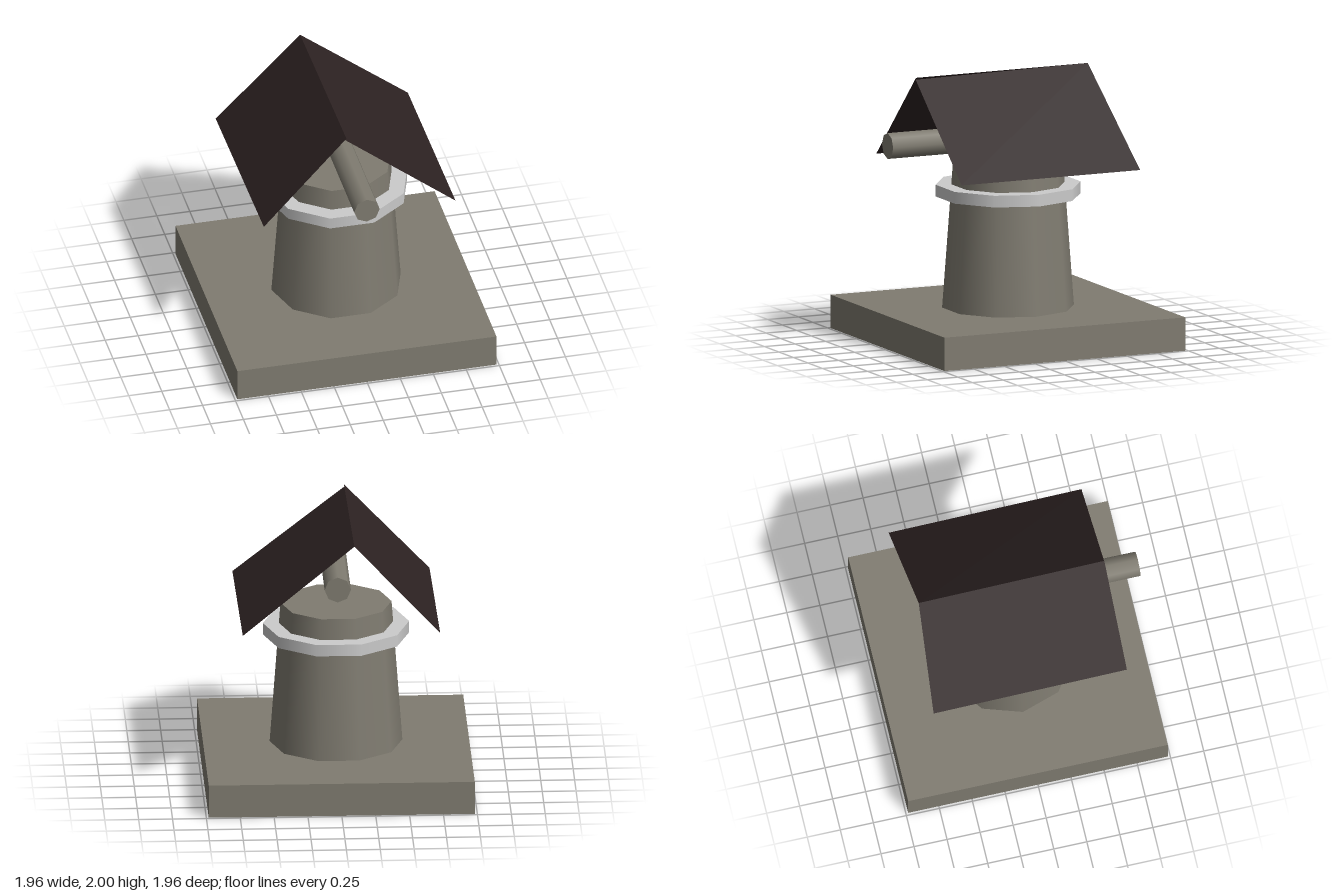
import * as THREE from 'three';

const stone = new THREE.MeshStandardMaterial({ color: 0x807c71 });
stone.name = 'stone';
const trim = new THREE.MeshStandardMaterial({ color: 0xcccccc });
trim.name = 'pale trim';
const roofing = new THREE.MeshStandardMaterial({ color: 0x2d2222, side: THREE.DoubleSide });
roofing.name = 'dark roofing';

function part(name, geometry, material, x = 0, y = 0, z = 0) {
  const mesh = new THREE.Mesh(geometry, material);
  mesh.name = name;
  mesh.position.set(x, y, z);
  return mesh;
}

// Ten-sided drum with corners on the x axis
const drum = (top, bottom, height) =>
  new THREE.CylinderGeometry(top, bottom, height, 10, 1, false, Math.PI / 2);

// Four-cornered sheet, folded along the a-c diagonal
function sheet(a, b, c, d) {
  const geometry = new THREE.BufferGeometry();
  geometry.setAttribute('position', new THREE.Float32BufferAttribute([a, b, c, a, c, d].flat(), 3));
  geometry.computeVertexNormals();
  return geometry;
}

export function createModel() {
  const model = new THREE.Group();
  model.name = 'tower';

  // Square plinth, tapered tower and gallery ring
  model.add(part('base', new THREE.BoxGeometry(1.964, 0.25, 1.964), stone, 0, 0.125, 0));
  model.add(part('towerBody', drum(0.41, 0.49, 1.08), stone, 0, 0.79, 0));
  model.add(part('galleryRing', drum(0.54, 0.54, 0.088), trim, 0, 1.128, 0));

  // Axle poking out of the front
  const axle = new THREE.CylinderGeometry(0.097, 0.097, 1.282, 8).rotateX(Math.PI / 2);
  model.add(part('axle', axle, stone, 0, 1.525, 0.341));

  // Slightly crooked roof made of two thin sheets
  const roof = new THREE.Group();
  roof.name = 'roof';
  const ridgeBack = [-0.105, 2, -0.7];
  roof.add(part('leftSlopeOfFront', sheet(
    ridgeBack, [-0.737, 1.33, -0.733], [-0.722, 1.33, 0.733], [-0.09, 2, 0.708]), roofing));
  roof.add(part('rightSlopeOfFront', sheet(
    ridgeBack, [-0.095, 1.985, 0.708], [0.733, 1.33, 0.725], [0.72, 1.33, -0.737]), roofing));
  model.add(roof);

  return model;
}
